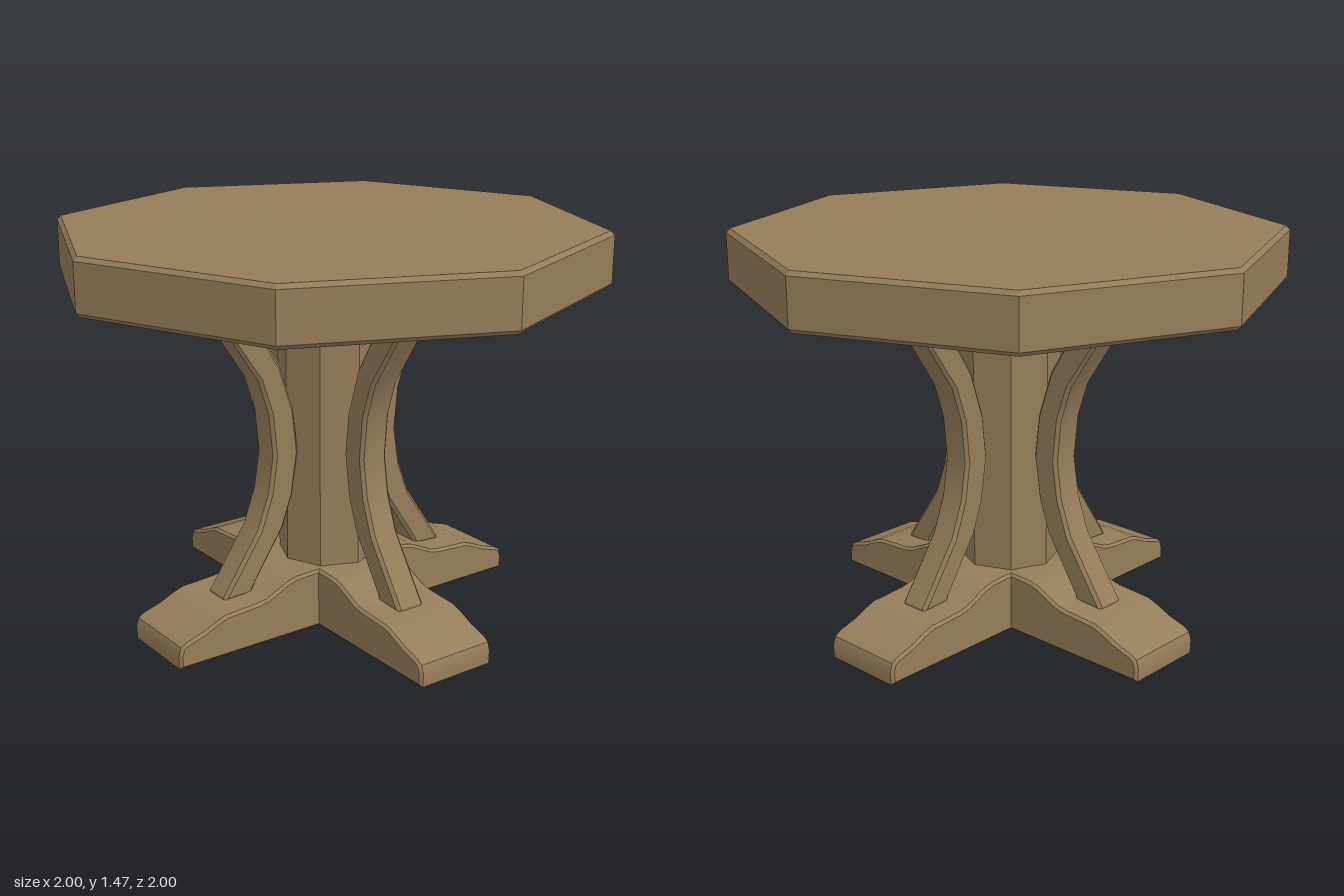
import * as THREE from 'three';
import { toCreasedNormals } from 'three/addons/utils/BufferGeometryUtils.js';

const wood = new THREE.MeshStandardMaterial({ color: 0x967d5a });

function part(name, geometry) {
  const mesh = new THREE.Mesh(toCreasedNormals(geometry, 0.5), wood);
  mesh.name = name;
  return mesh;
}

// Eight-sided turned solid with corners on the axes; profile runs bottom to top
function octagon(name, profile) {
  return part(name, new THREE.LatheGeometry(profile.map(p => new THREE.Vector2(...p)), 8));
}

// Board cut from an outline in x/y, centred on z, with chamfered edges
function board(name, outline, width, bevel) {
  const shape = new THREE.Shape(outline.map(p => new THREE.Vector2(...p)));
  const depth = width - 2 * bevel;
  const geometry = new THREE.ExtrudeGeometry(shape, {
    depth, bevelEnabled: true, bevelThickness: bevel, bevelSize: bevel,
    bevelOffset: -bevel, bevelSegments: 1,
  });
  geometry.translate(0, 0, -depth / 2);
  return part(name, geometry);
}

export function createModel() {
  const table = new THREE.Group();
  table.name = 'octagonalTable';

  // Thick top with chamfered rims
  table.add(octagon('tableTop', [
    [0, 1.265], [0.985, 1.265], [1, 1.28], [1, 1.45], [0.985, 1.465], [0, 1.465],
  ]));

  // Stepped plate under the top
  table.add(octagon('supportPlate', [
    [0, 1.2], [0.65, 1.2], [0.667, 1.212], [0.667, 1.24], [0.685, 1.255], [0.685, 1.27], [0, 1.27],
  ]));

  // Central column
  table.add(octagon('column', [
    [0, 0.05], [0.187, 0.05], [0.187, 1.185], [0.172, 1.202], [0, 1.202],
  ]));

  // Two crossing feet, each a mirrored stepped outline
  const half = [
    [0.75, 0], [0.752, 0.05], [0.742, 0.08], [0.72, 0.094], [0.65, 0.115], [0.6, 0.138],
    [0.555, 0.154], [0.42, 0.162], [0.38, 0.17], [0.337, 0.19], [0.29, 0.212], [0.25, 0.222], [0.16, 0.225],
  ];
  const footOutline = [...half, ...half.map(([x, y]) => [-x, y]).reverse()];
  for (let i = 0; i < 2; i++) {
    const foot = board('foot', footOutline, 0.32, 0.01);
    foot.rotation.y = i * Math.PI / 2;
    table.add(foot);
  }

  // Four bowed braces around the column
  const braceOutline = [
    [0.38, 0.155], [0.5, 0.15], [0.5, 0.165], [0.348, 0.39], [0.3, 0.52], [0.278, 0.66],
    [0.294, 0.82], [0.337, 0.95], [0.51, 1.21],
    [0.38, 1.21], [0.246, 0.99], [0.19, 0.82], [0.172, 0.66], [0.197, 0.5], [0.24, 0.38], [0.375, 0.175],
  ];
  for (let i = 0; i < 4; i++) {
    const brace = board('brace', braceOutline, 0.115, 0.012);
    brace.rotation.y = i * Math.PI / 2;
    table.add(brace);
  }

  return table;
}
